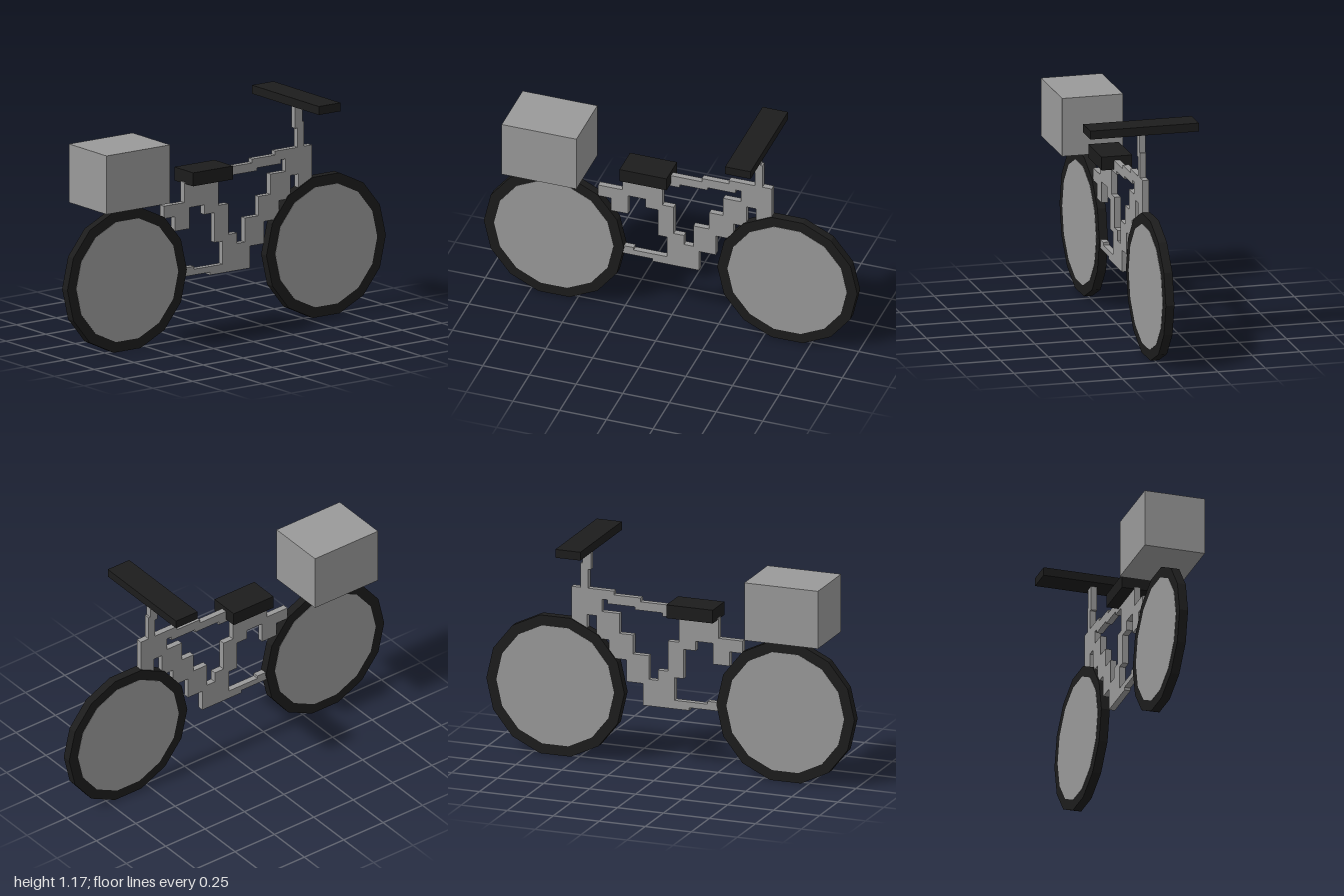
import * as THREE from 'three';

const grey = new THREE.MeshStandardMaterial({ color: 0x999999, flatShading: true });
grey.name = 'light grey';
const black = new THREE.MeshStandardMaterial({ color: 0x1c1c1c, flatShading: true });
black.name = 'black';

const toPoints = (list) => list.map(([x, y]) => new THREE.Vector2(x, y));

function addMesh(parent, name, geometry, material, x = 0, y = 0, z = 0) {
  const mesh = new THREE.Mesh(geometry, material);
  mesh.name = name;
  mesh.position.set(x, y, z);
  parent.add(mesh);
}

// Fourteen-sided disc lying in the xy plane, with corners on the x axis
const disc = (radius, width) =>
  new THREE.CylinderGeometry(radius, radius, width, 14, 1, false, Math.PI / 2).rotateX(Math.PI / 2);

// Stepped bicycle frame, including chain stay, seat tube, head tube and stem
function frameGeometry() {
  const shape = new THREE.Shape(toPoints([
    // chain stay underside and down tube
    [-0.28, 0.33], [-0.1, 0.33], [-0.1, 0.315], [0.15, 0.315], [0.15, 0.43], [0.24, 0.43],
    [0.24, 0.545], [0.335, 0.545], [0.335, 0.64], [0.405, 0.64], [0.405, 0.76],
    // head tube and stem
    [0.455, 0.76], [0.455, 0.68], [0.54, 0.68], [0.54, 0.9], [0.49, 0.9], [0.49, 1.03],
    [0.48, 1.03], [0.48, 1.14], [0.435, 1.14], [0.435, 1.0], [0.45, 1.0], [0.45, 0.9],
    // top tube
    [0.31, 0.9], [0.31, 0.88], [0.165, 0.88], [0.165, 0.86], [0, 0.86], [0, 0.82],
    // seat stay
    [-0.26, 0.82], [-0.26, 0.715], [-0.39, 0.715], [-0.39, 0.65], [-0.32, 0.65],
    [-0.32, 0.575], [-0.23, 0.575], [-0.23, 0.685],
    // seat tube and chain stay top
    [-0.135, 0.685], [-0.135, 0.635], [-0.07, 0.635], [-0.07, 0.48], [-0.02, 0.48],
    [-0.02, 0.36], [-0.2, 0.36], [-0.2, 0.375], [-0.28, 0.375],
  ]));
  // Opening of the main triangle
  shape.holes.push(new THREE.Path(toPoints([
    [-0.045, 0.797], [0.045, 0.797], [0.045, 0.815], [0.195, 0.815], [0.195, 0.83],
    [0.345, 0.83], [0.345, 0.85], [0.375, 0.85], [0.375, 0.785], [0.28, 0.785],
    [0.28, 0.68], [0.205, 0.68], [0.205, 0.58], [0.12, 0.58], [0.12, 0.455],
    [0.07, 0.455], [0.07, 0.51], [0.015, 0.51], [0.015, 0.67], [-0.045, 0.67],
  ])));
  return new THREE.ExtrudeGeometry(shape, { depth: 0.032, bevelEnabled: false }).translate(0, 0, -0.016);
}

export function createModel() {
  const model = new THREE.Group();
  model.name = 'bicycle';

  addMesh(model, 'frame', frameGeometry(), grey);

  // Wheels: dark tyre with a slightly proud solid disc
  for (const [name, x] of [['rearWheel', -0.625], ['frontWheel', 0.625]]) {
    const wheel = new THREE.Group();
    wheel.name = name;
    wheel.position.set(x, 0.366, 0);
    addMesh(wheel, 'tyre', disc(0.375, 0.045), black);
    addMesh(wheel, 'wheelDisc', disc(0.32, 0.048), grey);
    model.add(wheel);
  }

  // Cargo box, saddle and handlebar
  addMesh(model, 'cargoBox', new THREE.BoxGeometry(0.4, 0.304, 0.32), grey, -0.656, 0.92);
  addMesh(model, 'saddle', new THREE.BoxGeometry(0.252, 0.07, 0.16), black, -0.127, 0.846);
  addMesh(model, 'handlebar', new THREE.BoxGeometry(0.136, 0.044, 0.57), black, 0.453, 1.152);

  return model;
}
